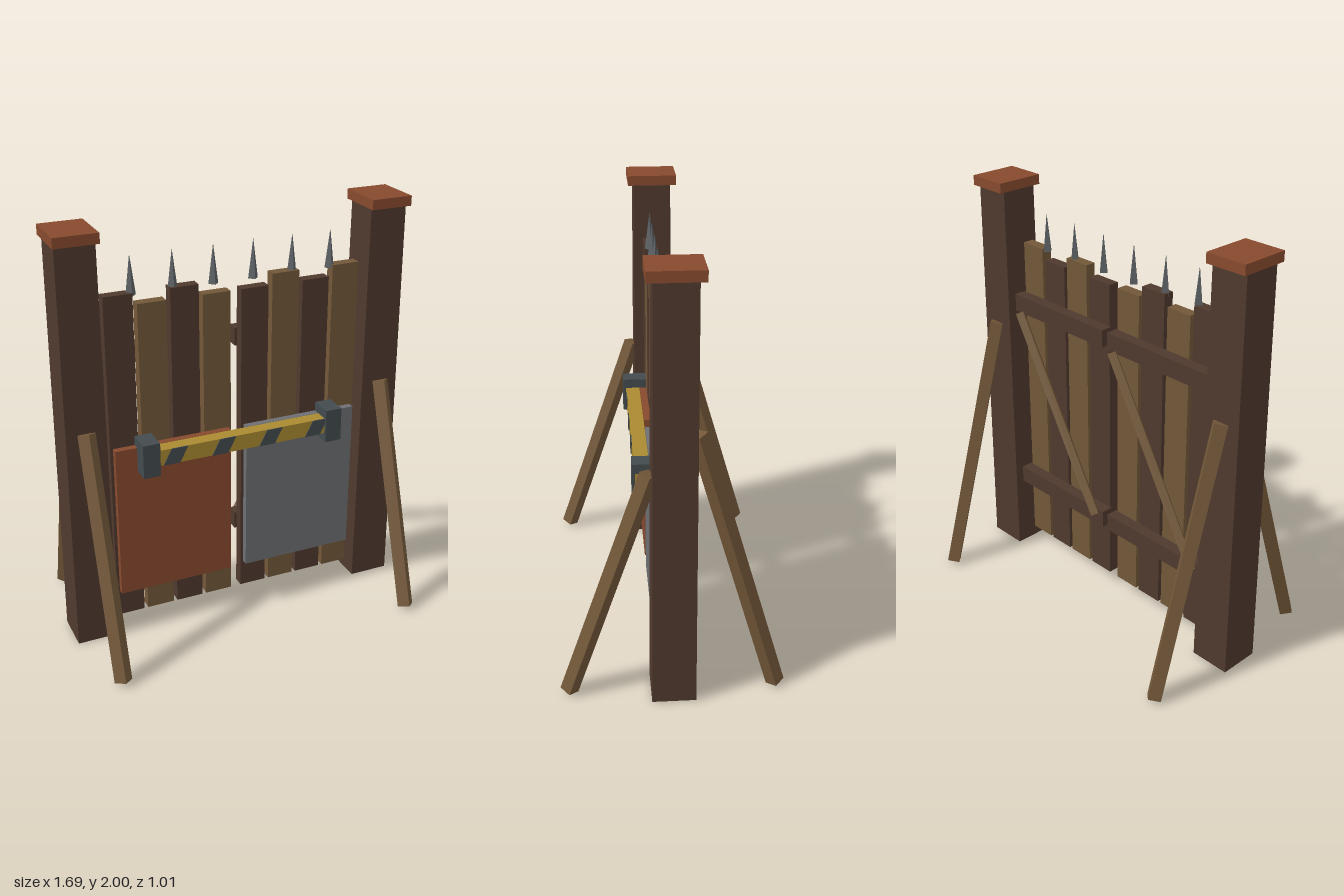
import * as THREE from 'three';

const paint = (name, color) => Object.assign(new THREE.MeshStandardMaterial({ color }), { name });
const darkWood = paint('dark wood', 0x4f392d);
const lightWood = paint('light wood', 0x735839);
const rust = paint('rusty metal', 0x884a2e);
const sheet = paint('grey sheet metal', 0x6d6f72);
const yellow = paint('hazard yellow', 0xaa8a30);
const iron = paint('dark iron', 0x434b4e);
const steel = paint('spike steel', 0x5e6265);

function add(parent, name, geometry, material, x = 0, y = 0, z = 0) {
  const mesh = new THREE.Mesh(geometry, material);
  mesh.name = name;
  mesh.position.set(x, y, z);
  parent.add(mesh);
  return mesh;
}

// box given by its minimum and maximum corners
function box(parent, name, material, [x0, y0, z0], [x1, y1, z1]) {
  return add(parent, name, new THREE.BoxGeometry(x1 - x0, y1 - y0, z1 - z0), material,
    (x0 + x1) / 2, (y0 + y1) / 2, (z0 + z1) / 2);
}

// four-sided flat-faced tapered prism
function prism(rTop, rBottom, height) {
  const geometry = new THREE.CylinderGeometry(rTop, rBottom, height, 4).toNonIndexed();
  geometry.computeVertexNormals();
  return geometry;
}

// square timber standing on its edge between two points
function beam(parent, name, material, from, to, radius) {
  const a = new THREE.Vector3(...from), b = new THREE.Vector3(...to);
  const dir = b.clone().sub(a);
  const mesh = add(parent, name, prism(radius, radius, dir.length()), material);
  mesh.position.copy(a).add(b).multiplyScalar(0.5);
  mesh.quaternion.setFromUnitVectors(new THREE.Vector3(0, 1, 0), dir.normalize());
  return mesh;
}

export function createModel() {
  const gate = new THREE.Group();
  gate.name = 'gate';

  // posts with caps and leaning props
  for (const side of [-1, 1]) {
    const x = side * 0.744;
    const post = new THREE.Group();
    post.name = side > 0 ? 'leftPost' : 'rightPost';
    gate.add(post);
    const shaft = prism(0.09 * Math.SQRT2, 0.0985 * Math.SQRT2, 1.96).rotateY(Math.PI / 4);
    add(post, 'postShaft', shaft, darkWood, x, 0.98, 0);
    box(post, 'postCap', rust, [x - 0.101, 1.953, -0.118], [x + 0.101, 2, 0.118]);
    beam(post, 'frontProp', lightWood, [x, 0.012, 0.466], [x, 1.097, 0.102], 0.042);
    beam(post, 'backProp', lightWood, [x, 0.012, -0.466], [x, 1.272, -0.1], 0.042);
  }

  // two gate leaves: pickets, rails, diagonal brace and a metal sheet
  for (const side of [-1, 1]) {
    const leaf = new THREE.Group();
    leaf.name = side > 0 ? 'leftLeaf' : 'rightLeaf';
    gate.add(leaf);
    const cx = side * 0.325;
    for (let i = 0; i < 4; i++) {
      const x = cx + (i - 1.5) * 0.154;
      const tall = (i % 2 === 0) === (side < 0);
      box(leaf, 'picket', i % 2 ? lightWood : darkWood,
        [x - 0.0675, 0.072, -0.005], [x + 0.0675, tall ? 1.695 : 1.643, 0.047]);
    }
    for (const y of [0.422, 1.398]) {
      box(leaf, 'rail', darkWood, [cx - 0.309, y - 0.043, -0.063], [cx + 0.309, y + 0.043, -0.004]);
    }
    beam(leaf, 'brace', lightWood, [cx - 0.264, 0.44, -0.075], [cx + 0.264, 1.36, -0.075], 0.027);
    box(leaf, 'metalSheet', side < 0 ? rust : sheet,
      [cx - 0.285, 0.21, 0.046], [cx + 0.285, 0.97, 0.08]);
  }

  // spikes along the top
  for (let i = 0; i < 6; i++) {
    add(gate, 'spike', prism(0, 0.024, 0.185), steel, -0.003 + (i - 2.5) * 0.194, 1.773, 0.022);
  }

  // locking bar with slanted stripes, held by two brackets
  box(gate, 'lockingBar', yellow, [-0.504, 0.893, 0.082], [0.504, 0.97, 0.149]);
  const stripe = new THREE.ExtrudeGeometry(new THREE.Shape([
    new THREE.Vector2(-0.06, 0), new THREE.Vector2(0.02, 0),
    new THREE.Vector2(0.06, 0.077), new THREE.Vector2(-0.02, 0.077),
  ]), { depth: 0.005, bevelEnabled: false });
  for (let i = 0; i < 4; i++) {
    add(gate, 'barStripe', stripe, iron, -0.345 + i * 0.24, 0.893, 0.148);
  }
  for (const x of [-0.465, 0.461]) {
    box(gate, 'barBracket', iron, [x - 0.041, 0.85, 0.046], [x + 0.041, 1.015, 0.163]);
  }
  return gate;
}
